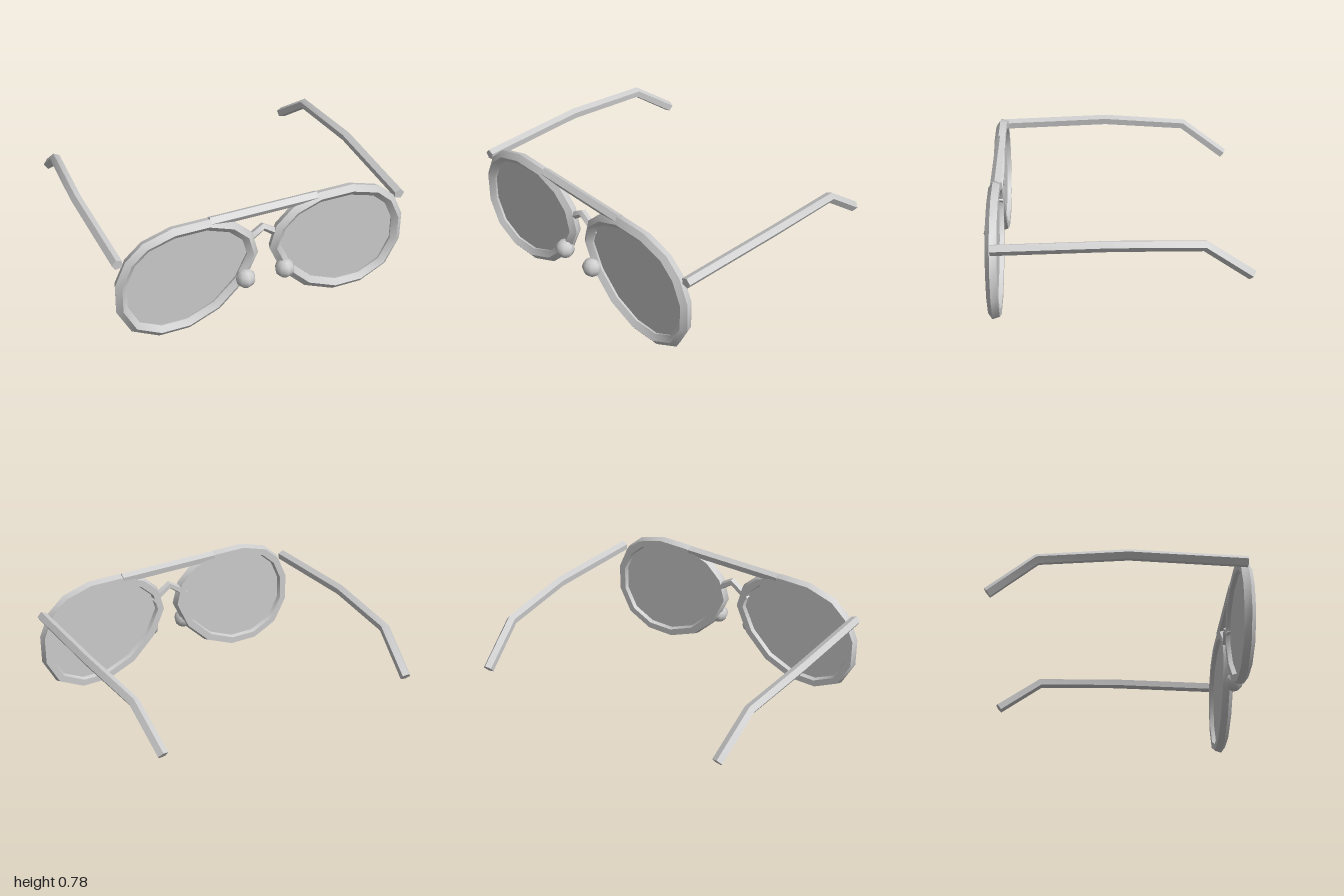
import * as THREE from 'three';
import { toCreasedNormals } from 'three/addons/utils/BufferGeometryUtils.js';

const V3 = (x, y, z) => new THREE.Vector3(x, y, z);

// Sweep a regular polygon along a polyline; its first corner points towards ref, turned by offset
function sweep(path, radius, ref, { sides = 5, offset = 0, closed = false } = {}) {
  const n = path.length, pos = [], idx = [];
  path.forEach((p, i) => {
    const prev = closed || i > 0 ? path[(i + n - 1) % n] : null;
    const next = closed || i < n - 1 ? path[(i + 1) % n] : null;
    const t = V3(0, 0, 0);
    if (prev) t.add(p.clone().sub(prev).normalize());
    if (next) t.add(next.clone().sub(p).normalize());
    t.normalize();
    const u = ref.clone().addScaledVector(t, -ref.dot(t)).normalize();
    const v = t.clone().cross(u);
    for (let k = 0; k < sides; k++) {
      const a = offset + (k / sides) * Math.PI * 2;
      const q = p.clone().addScaledVector(u, radius * Math.cos(a)).addScaledVector(v, radius * Math.sin(a));
      pos.push(q.x, q.y, q.z);
    }
  });
  for (let i = 0; i < (closed ? n : n - 1); i++) {
    for (let k = 0; k < sides; k++) {
      const k1 = (k + 1) % sides, j = (i + 1) % n;
      const a = i * sides + k, b = i * sides + k1, c = j * sides + k1, d = j * sides + k;
      idx.push(a, b, c, a, c, d);
    }
  }
  if (!closed) {
    const e = (n - 1) * sides;
    for (let k = 1; k < sides - 1; k++) idx.push(0, k + 1, k, e, e + k, e + k + 1);
  }
  const g = new THREE.BufferGeometry();
  g.setAttribute('position', new THREE.Float32BufferAttribute(pos, 3));
  g.setIndex(idx);
  return toCreasedNormals(g, 0.95);
}

export function createModel() {
  const group = new THREE.Group();
  const frame = new THREE.MeshStandardMaterial({ color: 0xcccccc });
  frame.name = 'frameGrey';
  const glass = new THREE.MeshStandardMaterial({ color: 0xcccccc, side: THREE.DoubleSide });
  glass.name = 'lensGrey';

  const add = (name, geometry, material = frame) => {
    const m = new THREE.Mesh(geometry, material);
    m.name = name;
    group.add(m);
    return m;
  };

  // Teardrop outline of one rim, pulled in to the middle of its tube
  const outline = [
    [0.715, 0.01], [0.89, 0.1], [0.98, 0.275], [0.98, 0.47], [0.91, 0.63], [0.8, 0.73], [0.605, 0.79],
    [0.365, 0.79], [0.19, 0.725], [0.08, 0.62], [0.04, 0.47], [0.13, 0.27], [0.3, 0.1], [0.51, 0.01],
  ].map(([x, y]) => [0.51 + (x - 0.51) * 0.92, 0.4 + (y - 0.4) * 0.905]);
  const front = V3(0, 0, 1);

  for (const s of [1, -1]) {
    const side = s > 0 ? 'left' : 'right';

    // Rim and lens
    const rim = outline.map(([x, y]) => V3(s * x, y, 0.745));
    add(side + 'Rim', sweep(rim, 0.04, front, { closed: true }));
    const shape = new THREE.Shape(rim.map((p) => new THREE.Vector2(p.x, p.y)));
    add(side + 'Lens', new THREE.ShapeGeometry(shape), glass).position.z = 0.74;

    // Temple arm, from the ear hook to the hinge
    const arm = [
      V3(s * 0.895, 0.4, -0.83), V3(s * 0.927, 0.62, -0.535),
      V3(s * 0.965, 0.645, 0.02), V3(s * 0.954, 0.622, 0.75),
    ];
    add(side + 'Temple', sweep(arm, 0.036, V3(s, 0, 0), { offset: s * 0.1 }));

    // Nose pad
    add(side + 'NosePad', new THREE.SphereGeometry(0.064, 8, 6)).position.set(s * 0.135, 0.303, 0.785);
  }

  // Brow bar
  add('browBar', sweep([V3(-0.36, 0.76, 0.74), V3(0.36, 0.76, 0.74)], 0.035, front, { offset: -0.14 }));

  // Arched bridge
  const bridge = [[-0.125, 0.53], [-0.08, 0.57], [0, 0.625], [0.08, 0.57], [0.125, 0.53]];
  add('bridge', sweep(bridge.map(([x, y]) => V3(x, y, 0.735)), 0.027, front));

  return group;
}
